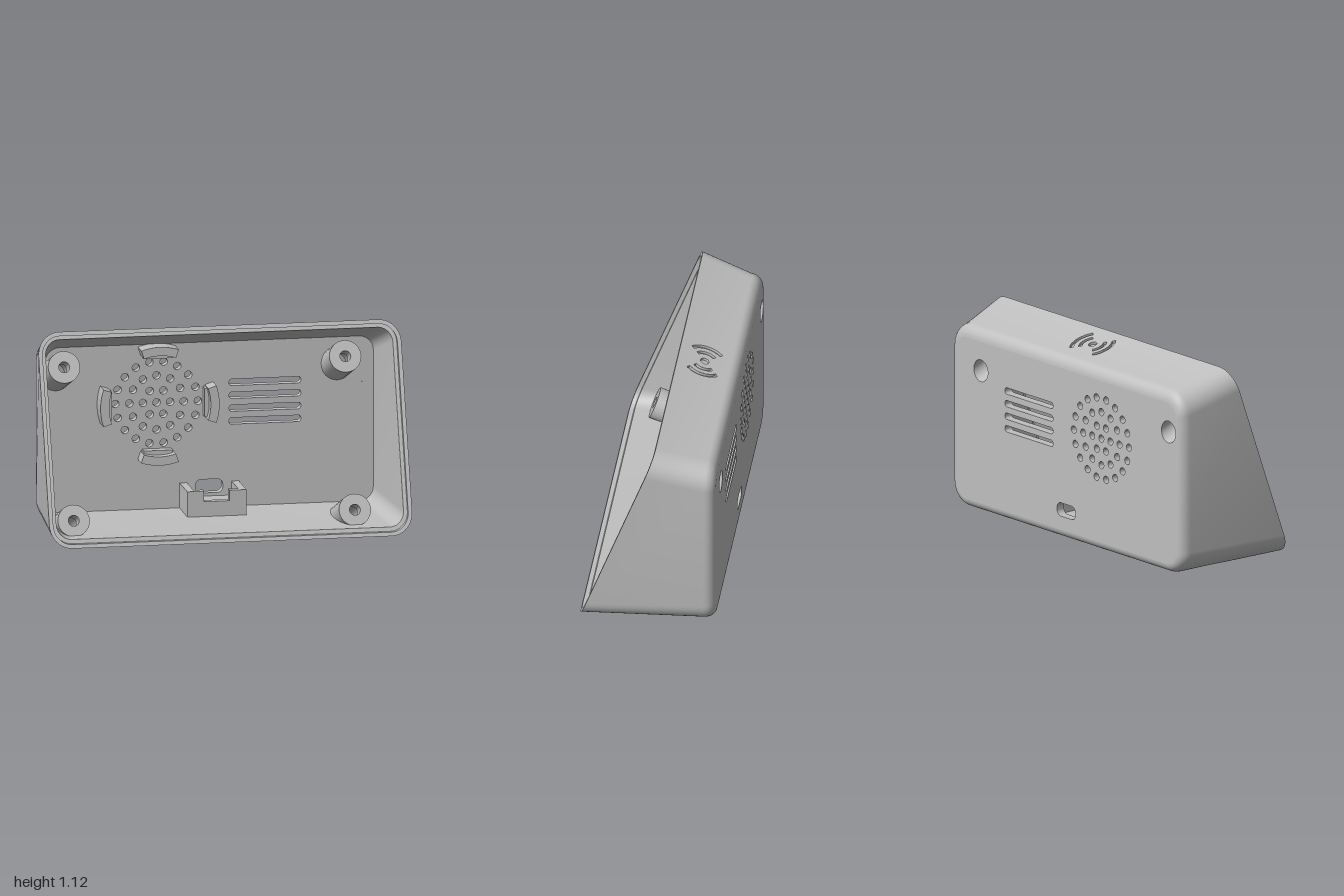
import * as THREE from 'three';
import { toCreasedNormals } from 'three/addons/utils/BufferGeometryUtils.js';

const V = (x, y, z) => new THREE.Vector3(x, y, z);
const SLOPE = 0.366;                       // lean of the open front
const rimZ = (off) => (y) => 0.37 + off - SLOPE * y;
const flatZ = (z) => () => z;
const BACK = -0.37, INNER = -0.32;         // outer and inner face of the back wall

// rounded-rectangle cross-section, counter-clockwise from the front
function section(half, y0, y1, r, zAt) {
  const pts = [], n = 10;
  [[1, y0, -1], [1, y1, 0], [-1, y1, 1], [-1, y0, 2]].forEach(([sx, y, q]) => {
    const cx = sx * (half - r), cy = y === y0 ? y0 + r : y1 - r;
    for (let i = 0; i <= n; i++) {
      const a = (q + i / n) * Math.PI / 2, py = cy + r * Math.sin(a);
      pts.push(V(cx + r * Math.cos(a), py, zAt(py)));
    }
  });
  return pts;
}

function loft(rows) {
  const pos = rows.flat().flatMap((p) => [p.x, p.y, p.z]), idx = [], n = rows[0].length;
  for (let j = 0; j < rows.length - 1; j++)
    for (let i = 0; i < n; i++) {
      const a = j * n + i, b = j * n + (i + 1) % n;
      idx.push(a, b, a + n, b, b + n, a + n);
    }
  const g = new THREE.BufferGeometry();
  g.setAttribute('position', new THREE.Float32BufferAttribute(pos, 3));
  g.setIndex(idx);
  return toCreasedNormals(g, 0.5);
}

// cuts a convex prism (loop swept along axis, between -far and +near) out of a surface
function drill(geo, loop, axis, near, far) {
  const mid = loop.reduce((s, p) => s.add(p), V(0, 0, 0)).divideScalar(loop.length);
  const planes = [
    new THREE.Plane().setFromNormalAndCoplanarPoint(axis, mid.clone().addScaledVector(axis, near)),
    new THREE.Plane().setFromNormalAndCoplanarPoint(axis.clone().negate(), mid.clone().addScaledVector(axis, -far)),
  ];
  loop.forEach((p, i) => {
    const nrm = loop[(i + 1) % loop.length].clone().sub(p).cross(axis).normalize();
    if (nrm.dot(mid.clone().sub(p)) > 0) nrm.negate();
    planes.push(new THREE.Plane().setFromNormalAndCoplanarPoint(nrm, p));
  });
  const P = geo.attributes.position, N = geo.attributes.normal, pos = [], nor = [];
  const dist = (pl, v) => pl.normal.x * v[0] + pl.normal.y * v[1] + pl.normal.z * v[2] + pl.constant;
  const emit = (poly) => {
    for (let i = 1; i < poly.length - 1; i++)
      [poly[0], poly[i], poly[i + 1]].forEach((v) => { pos.push(...v.slice(0, 3)); nor.push(...v.slice(3)); });
  };
  for (let t = 0; t < P.count; t += 3) {
    let piece = [0, 1, 2].map((k) => [P.getX(t + k), P.getY(t + k), P.getZ(t + k), N.getX(t + k), N.getY(t + k), N.getZ(t + k)]);
    if (planes.some((pl) => piece.every((v) => dist(pl, v) >= -1e-7))) { emit(piece); continue; }
    for (const pl of planes) {
      const out = [], inn = [];
      piece.forEach((v, i) => {
        const w = piece[(i + 1) % piece.length], a = dist(pl, v), b = dist(pl, w);
        (a >= 0 ? out : inn).push(v);
        if ((a >= 0) !== (b >= 0)) {
          const m = v.map((c, k) => c + (w[k] - c) * a / (a - b));
          out.push(m); inn.push(m);
        }
      });
      if (out.length > 2) emit(out);
      piece = inn;
      if (piece.length < 3) break;
    }
  }
  const g = new THREE.BufferGeometry();
  g.setAttribute('position', new THREE.Float32BufferAttribute(pos, 3));
  g.setAttribute('normal', new THREE.Float32BufferAttribute(nor, 3));
  return g;
}

const extrude = (shape, depth) => new THREE.ExtrudeGeometry(shape, { depth, bevelEnabled: false, curveSegments: 8 });

// inward-facing recess below local z = 0
function pocket(shape, depth) {
  const g = extrude(shape, depth).scale(1, 1, -1);
  g.computeVertexNormals();
  return g;
}

function band(r0, r1, mid, spread) {
  const s = new THREE.Shape();
  s.absarc(0, 0, r1, mid - spread, mid + spread, false);
  s.absarc(0, 0, r0, mid + spread, mid - spread, true);
  s.closePath();
  return s;
}
const disc = (r) => new THREE.Shape().absarc(0, 0, r, 0, Math.PI * 2, false);

export function createModel() {
  const model = new THREE.Group();
  const grey = new THREE.MeshStandardMaterial({ color: 0xbfbfbf });
  grey.name = 'light grey plastic';
  const add = (name, geo, parent = model) => {
    const m = new THREE.Mesh(geo, grey);
    m.name = name;
    parent.add(m);
    return m;
  };

  // housing: back fillet, outer walls, stepped rim and inner walls in one loft
  const side = section(0.957, 0, 1.035, 0.13, flatZ(-0.305));
  const back = section(0.905, 0.05, 0.965, 0.08, flatZ(BACK));
  const rows = [];
  for (let k = 0; k <= 7; k++) {
    const a = (1 - k / 7) * Math.PI / 2;
    rows.push(side.map((p, i) => {
      const q = p.clone().lerp(back[i], 1 - Math.cos(a));
      q.z = p.z + (BACK - p.z) * Math.sin(a);
      return q;
    }));
  }
  rows.push(
    section(1, 0, 1.115, 0.12, rimZ(0)),
    section(0.978, 0.02, 1.093, 0.1, rimZ(0)),
    section(0.978, 0.02, 1.093, 0.1, rimZ(-0.025)),
    section(0.957, 0.042, 1.07, 0.08, rimZ(-0.025)),
    section(0.905, 0.05, 0.965, 0.08, flatZ(INNER)),
  );
  let shell = loft(rows);

  // back wall with speaker holes, vent slots and port opening
  const wall = new THREE.Shape(back.map((p) => new THREE.Vector2(p.x, p.y)));
  const hole = (x, y, r) => wall.holes.push(new THREE.Path().absarc(x, y, r, 0, Math.PI * 2, true));
  const slot = (x0, x1, y, h, r) => wall.holes.push(new THREE.Path(
    section((x1 - x0) / 2, y - h / 2, y + h / 2, r, flatZ(0)).map((p) => new THREE.Vector2(p.x + (x0 + x1) / 2, p.y))));
  const SX = -0.29, SY = 0.64;
  hole(SX, SY, 0.021);
  for (const [n, r] of [[6, 0.075], [12, 0.15], [18, 0.228]])
    for (let i = 0; i < n; i++) {
      const a = i / n * Math.PI * 2;
      hole(SX + r * Math.cos(a), SY + r * Math.sin(a), 0.021);
    }
  for (const y of [0.735, 0.663, 0.592, 0.521]) slot(0.11, 0.505, y, 0.036, 0.014);
  slot(-0.075, 0.075, 0.165, 0.075, 0.03);
  let backWall = extrude(wall, INNER - BACK).translate(0, 0, BACK);

  // screw posts square to the leaning front, each with a wide bore from outside
  const tilt = Math.atan2(1, SLOPE), axis = V(0, Math.cos(tilt), Math.sin(tilt));
  const profile = [[0.088, -0.4], [0.088, 0], [0.03, 0], [0.03, -0.1], [0.058, -0.1], [0.058, -0.4]]
    .map(([r, y]) => new THREE.Vector2(r, y));
  for (const x of [-0.845, 0.705])
    for (const y of [0.91, 0.12]) {
      const end = V(x, y, rimZ(-0.11)(y)), low = y < 0.5;
      const post = new THREE.LatheGeometry(profile, 32), p = post.attributes.position;
      for (let i = 0; i < p.count; i++) {
        const h = p.getY(i), outer = Math.hypot(p.getX(i), p.getZ(i)) > 0.07;
        const v = V(p.getX(i), 0, p.getZ(i)).applyAxisAngle(V(1, 0, 0), tilt).add(end);
        let d = -h;
        // trim the root to the floor or the back wall
        if (h < -0.2) d = low ? (v.y - (outer ? 0.042 : 0.004)) / axis.y : (v.z - (outer ? -0.345 : BACK)) / axis.z;
        v.addScaledVector(axis, -Math.max(d, 0));
        p.setXYZ(i, v.x, v.y, v.z);
      }
      add('screwPost', toCreasedNormals(post, 0.6));
      const ring = [];
      for (let i = 0; i < 32; i++) {
        const a = i / 16 * Math.PI;
        ring.push(V(0.058 * Math.sin(a), 0, 0.058 * Math.cos(a)).applyAxisAngle(V(1, 0, 0), tilt).add(end));
      }
      shell = drill(shell, ring, axis, -0.05, 1);
      if (!low) backWall = drill(backWall, ring, axis, -0.05, 1);
    }

  // round foot recesses under the floor
  for (const x of [-0.48, 0.48])
    for (const z of [-0.215, 0.2]) {
      const ring = disc(0.08).getPoints(16).slice(0, -1).map((q) => V(x + q.x, 0, z + q.y));
      shell = drill(shell, ring, V(0, -1, 0), 0.01, 0.01);
      const foot = add('footRecess', pocket(disc(0.08), 0.03));
      foot.rotation.x = Math.PI / 2;
      foot.position.set(x, 0, z);
    }

  // engraved wave arcs and dot on the top
  const waves = new THREE.Group();
  waves.name = 'topEngraving';
  waves.position.set(0, 1.0725, -0.18);
  waves.rotation.x = -(Math.PI / 2 + Math.atan2(0.08, 0.267));
  waves.updateMatrix();
  model.add(waves);
  const up = V(0, 0, 1).applyEuler(waves.rotation);
  const engrave = (pts) => { shell = drill(shell, pts.map(([a, b]) => V(a, b, 0).applyMatrix4(waves.matrix)), up, 0.012, 0.012); };
  engrave(disc(0.024).getPoints(8).slice(0, -1).map((q) => [q.x, q.y]));
  add('engravedDot', pocket(disc(0.024), 0.015), waves);
  for (const mid of [0, Math.PI])
    for (const [r0, r1] of [[0.06, 0.08], [0.108, 0.13]]) {
      const spread = 0.75, n = 8;
      for (let i = 0; i < n; i++) {
        const a = mid - spread + 2 * spread * i / n, b = a + 2 * spread / n;
        engrave([[r0, a], [r1, a], [r1, b], [r0, b]].map(([r, t]) => [r * Math.cos(t), r * Math.sin(t)]));
      }
      add('engravedArc', pocket(band(r0, r1, mid, spread), 0.015), waves);
    }
  add('housing', shell);
  add('backWall', backWall);

  // four curved clips around the speaker grille
  for (let i = 0; i < 4; i++) {
    const clip = new THREE.Group();
    clip.name = 'speakerClip';
    clip.position.set(SX, SY, INNER - 0.005);
    clip.rotation.z = i * Math.PI / 2;
    add('clipWall', extrude(band(0.28, 0.328, 0, 0.32), 0.11), clip);
    add('clipLedge', new THREE.BoxGeometry(0.04, 0.16, 0.06).translate(0.275, 0, 0.03), clip);
    model.add(clip);
  }

  // cradle behind the port opening
  const box = (name, x0, x1, y0, y1, z0, z1) =>
    add(name, new THREE.BoxGeometry(x1 - x0, y1 - y0, z1 - z0).translate((x0 + x1) / 2, (y0 + y1) / 2, (z0 + z1) / 2));
  box('cradleBase', -0.163, 0.163, 0.03, 0.11, -0.33, -0.09);
  box('cradleFront', -0.09, 0.09, 0.1, 0.13, -0.13, -0.09);
  for (const s of [-1, 1]) {
    const [a, b] = s > 0 ? [0.123, 0.163] : [-0.163, -0.123];
    box('cradleSide', a, b, 0.1, 0.188, -0.33, -0.09);
    box('cradleCorner', s > 0 ? 0.07 : -0.13, s > 0 ? 0.13 : -0.07, 0.1, 0.188, -0.13, -0.09);
  }
  return model;
}
